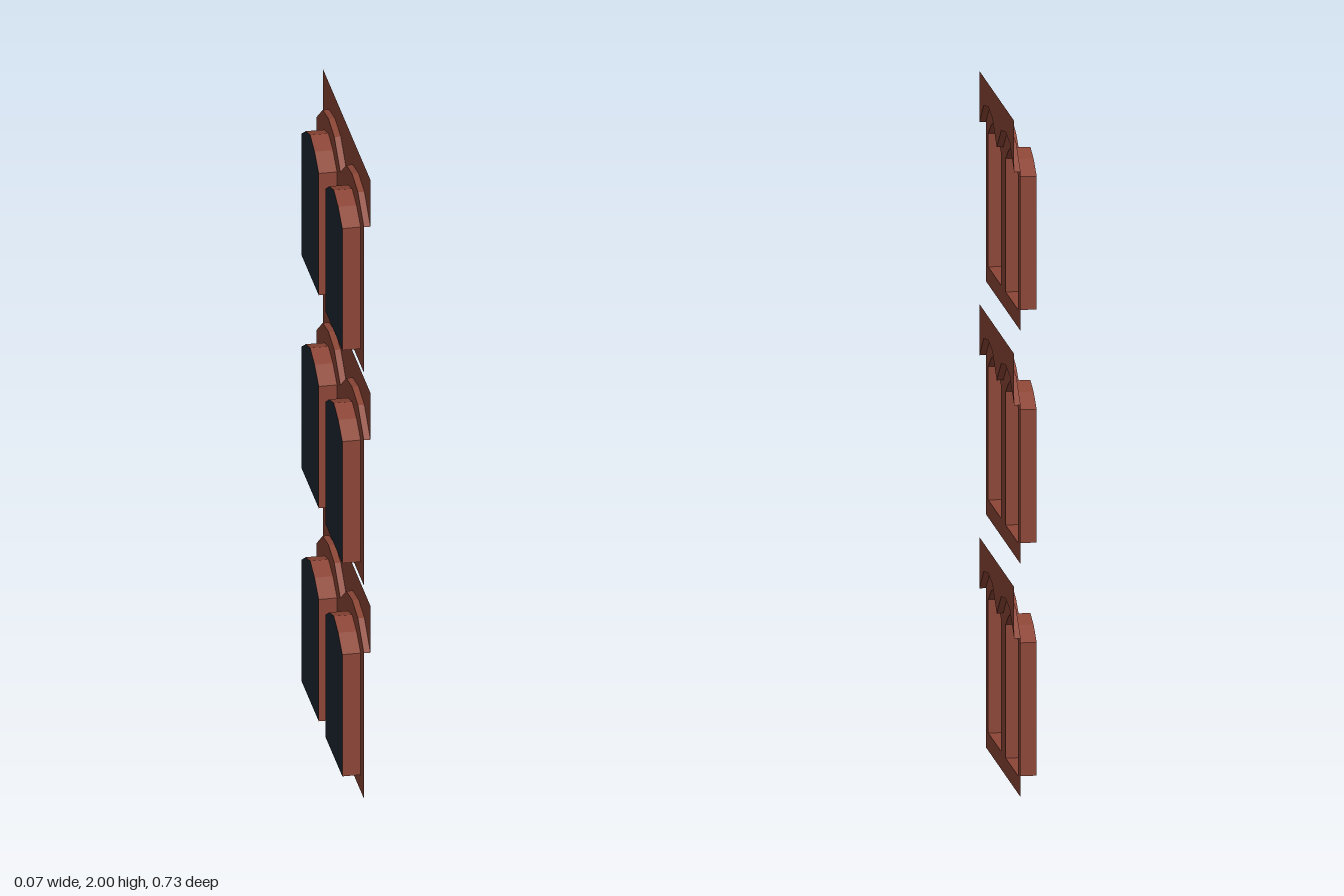
import * as THREE from 'three';

const HALF = 0.365, HEIGHT = 0.622, PITCH = 0.689;
const BAY = HALF / 2;                              // centre of each window
const BACK = -0.0365, FACE = 0.0175, FRONT = 0.0365; // depth layers

const brick = new THREE.MeshStandardMaterial({ color: 0x8b4536, side: THREE.DoubleSide, flatShading: true });
const glass = new THREE.MeshStandardMaterial({ color: 0x1f2832, side: THREE.DoubleSide, flatShading: true });

const vec = (u, v) => new THREE.Vector2(u, v);

// Arched opening outline, counter-clockwise
const opening = (c) => [
  vec(c - 0.132, 0.052), vec(c + 0.132, 0.052), vec(c + 0.132, 0.446),
  vec(c + 0.068, 0.485), vec(c, 0.506), vec(c - 0.068, 0.485), vec(c - 0.132, 0.446),
];

// Double-arched line of the hood, running towards -u
const hoodLine = [vec(HALF, 0.47)];
for (const c of [BAY, -BAY]) {
  hoodLine.push(vec(c + 0.09, 0.538), vec(c, 0.553), vec(c - 0.09, 0.538), vec(c - BAY, 0.47));
}

// Flat sheet drawn in (u, v), facing along depth
function sheet(points, depth, holes = []) {
  const shape = new THREE.Shape(points);
  shape.holes = holes.map((h) => new THREE.Path(h));
  return new THREE.ShapeGeometry(shape).translate(0, 0, depth);
}

// Open strip that carries a line from one depth to another
function band(points, d0, d1, closed) {
  const pos = [];
  const count = closed ? points.length : points.length - 1;
  for (let i = 0; i < count; i++) {
    const a = points[i], b = points[(i + 1) % points.length];
    pos.push(a.x, a.y, d0, a.x, a.y, d1, b.x, b.y, d1);
    pos.push(a.x, a.y, d0, b.x, b.y, d1, b.x, b.y, d0);
  }
  const g = new THREE.BufferGeometry();
  g.setAttribute('position', new THREE.Float32BufferAttribute(pos, 3));
  g.computeVertexNormals();
  return g;
}

function add(parent, name, geometry, material) {
  geometry.rotateY(Math.PI / 2); // depth becomes +x
  const mesh = new THREE.Mesh(geometry, material);
  mesh.name = name;
  parent.add(mesh);
}

function windowPanel() {
  const panel = new THREE.Group();
  const windows = [-BAY, BAY].map(opening);

  // Wall below the hood, pierced by the two openings
  add(panel, 'wallFace', sheet([vec(-HALF, 0), vec(HALF, 0), ...hoodLine], FACE, windows), brick);

  // Raised hood above the arches and its underside
  add(panel, 'hoodFace', sheet([vec(-HALF, HEIGHT), ...[...hoodLine].reverse(), vec(HALF, HEIGHT)], FRONT), brick);
  add(panel, 'hoodUnderside', band(hoodLine, FACE, FRONT, false), brick);

  // Recessed panes with their reveals
  windows.forEach((outline) => {
    add(panel, 'windowReveal', band(outline, BACK, FACE, true), brick);
    add(panel, 'windowPane', sheet(outline, BACK), glass);
  });
  return panel;
}

export function createModel() {
  const model = new THREE.Group();
  model.name = 'archedWindows';
  for (let i = 0; i < 3; i++) {
    const panel = windowPanel();
    panel.name = `windowPanel${i + 1}`;
    panel.position.y = i * PITCH;
    model.add(panel);
  }
  return model;
}
